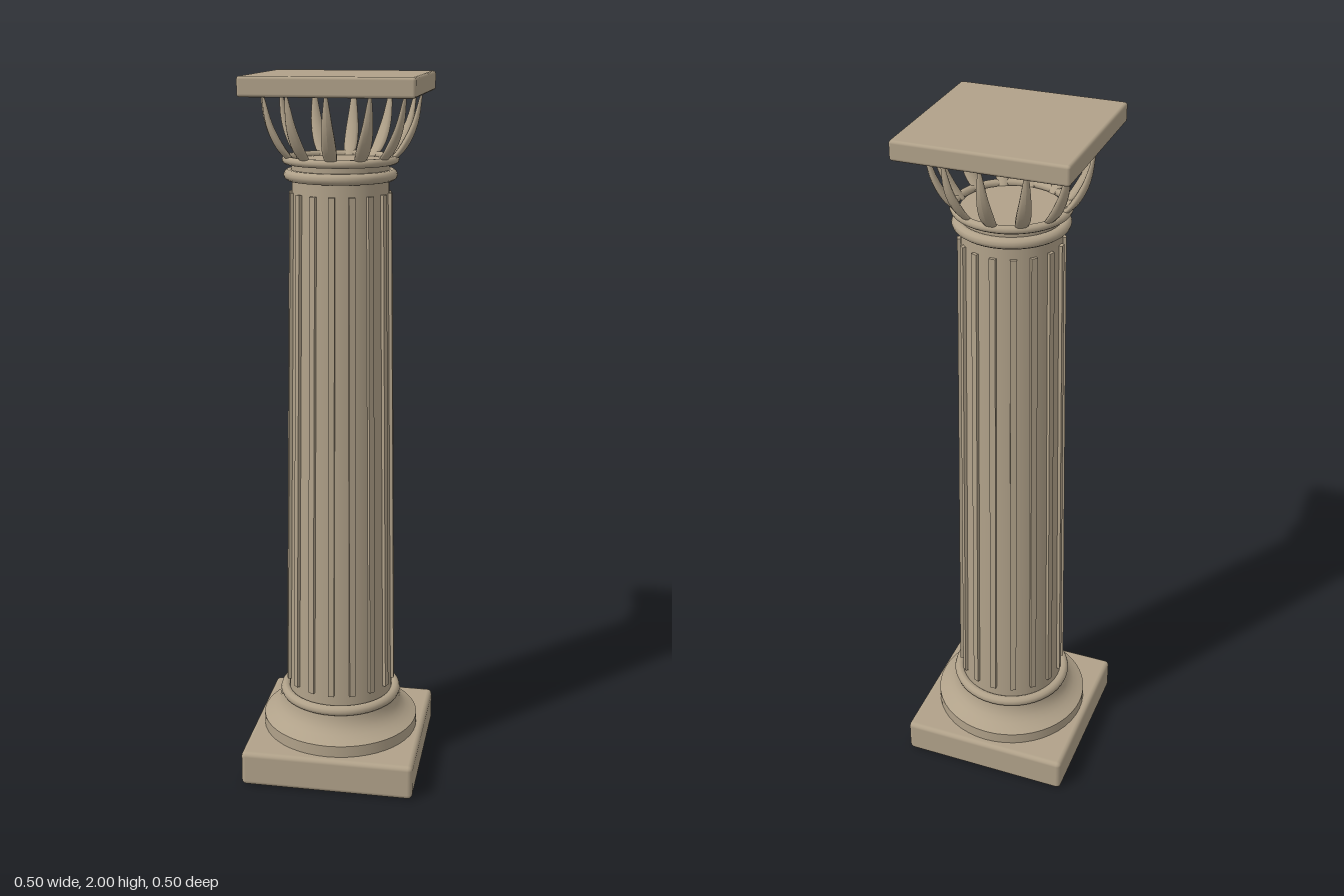
import * as THREE from 'three';
import { RoundedBoxGeometry } from 'three/addons/geometries/RoundedBoxGeometry.js';

const stone = new THREE.MeshStandardMaterial({ color: 0xb0a189 });
stone.name = 'stone';

export function createModel() {
  const column = new THREE.Group();
  column.name = 'column';

  function add(name, geometry, y = 0, parent = column) {
    const mesh = new THREE.Mesh(geometry, stone);
    mesh.name = name;
    mesh.position.y = y;
    parent.add(mesh);
    return mesh;
  }
  const lathe = (points) =>
    new THREE.LatheGeometry(points.map(([r, y]) => new THREE.Vector2(r, y)), 48);
  const ring = (outer, tube) =>
    new THREE.TorusGeometry(outer - tube, tube, 10, 48).rotateX(Math.PI / 2);

  // Square plinth and abacus with softened edges
  add('plinth', new RoundedBoxGeometry(0.5, 0.104, 0.5, 2, 0.014), 0.052);
  add('abacus', new RoundedBoxGeometry(0.456, 0.052, 0.456, 2, 0.008), 1.974);

  // Flared round base
  add('baseDrum', new THREE.CylinderGeometry(0.228, 0.228, 0.036, 48), 0.12);
  add('baseFlare', lathe([
    [0.228, 0.138], [0.212, 0.146], [0.197, 0.156], [0.184, 0.168],
    [0.176, 0.182], [0.171, 0.196], [0.169, 0.21],
  ]));
  add('baseRing', ring(0.178, 0.015), 0.218);

  // Tapered shaft
  add('shaft', new THREE.CylinderGeometry(0.131, 0.153, 1.5, 48), 0.97);

  // Slim ribs leaning with the taper of the shaft
  const ribs = new THREE.Group();
  ribs.name = 'ribs';
  column.add(ribs);
  const ribCount = 16;
  for (let i = 0; i < ribCount; i++) {
    const rib = new THREE.Group();
    rib.name = 'rib';
    rib.rotation.y = (i / ribCount) * Math.PI * 2;
    const bar = add('ribBar', new THREE.BoxGeometry(0.017, 1.43, 0.02), 0.975, rib);
    bar.position.z = 0.1405;
    bar.rotation.x = -Math.atan(0.021 / 1.43);
    ribs.add(rib);
  }

  // Neck mouldings
  add('neck', new THREE.CylinderGeometry(0.132, 0.131, 0.06, 48), 1.745);
  add('lowerNeckRing', ring(0.154, 0.015), 1.737);
  add('upperNeckRing', ring(0.158, 0.011), 1.777);

  // Bowed pointed leaf, swept along an outward curve
  const rise = new THREE.CatmullRomCurve3([
    new THREE.Vector3(0, 1.775, 0.138), new THREE.Vector3(0, 1.81, 0.168),
    new THREE.Vector3(0, 1.87, 0.198), new THREE.Vector3(0, 1.955, 0.217),
  ]);
  const leafShape = new THREE.CylinderGeometry(1, 1, 1, 10, 12);
  const pos = leafShape.attributes.position;
  for (let i = 0; i < pos.count; i++) {
    const t = pos.getY(i) + 0.5;
    const p = rise.getPoint(t);
    const width = 0.004 + 0.0155 * Math.sin(Math.PI * Math.min(1, 0.22 + 0.78 * t));
    pos.setXYZ(i, pos.getX(i) * width, p.y, p.z + pos.getZ(i) * width * 0.6);
  }
  leafShape.computeVertexNormals();

  // Open crown of leaves carrying the abacus
  const crown = new THREE.Group();
  crown.name = 'leafCrown';
  column.add(crown);
  const leafCount = 12;
  for (let i = 0; i < leafCount; i++) {
    add('leaf', leafShape, 0, crown).rotation.y = (i / leafCount) * Math.PI * 2;
  }

  return column;
}
